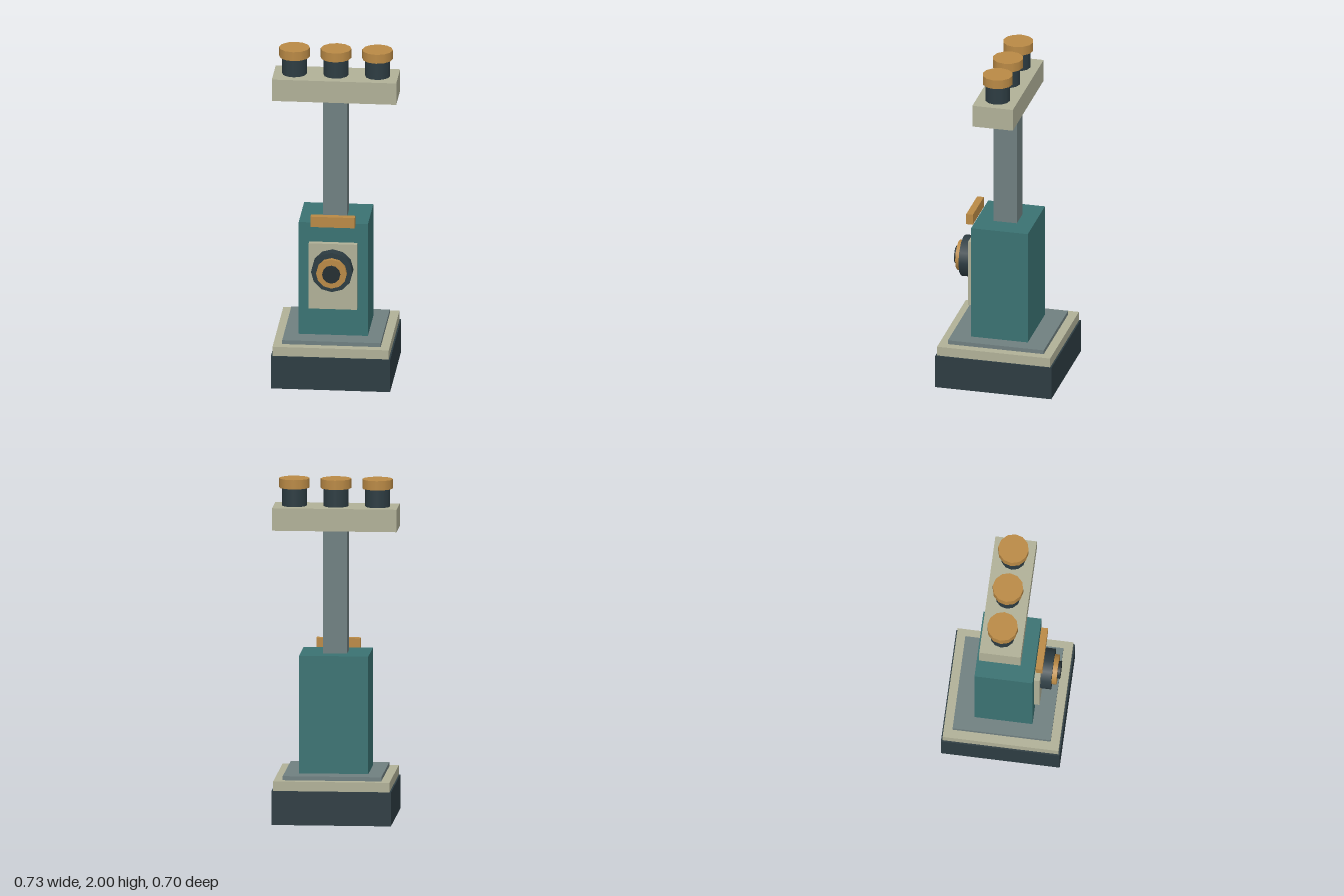
import * as THREE from 'three';

const material = (color) => new THREE.MeshStandardMaterial({ color });

export function createModel() {
  const group = new THREE.Group();
  const dark = material(0x2d3c42);
  const black = material(0x242e31);
  const cream = material(0xb0b097);
  const slate = material(0x6f7f80);
  const teal = material(0x3a7272);
  const brass = material(0xb98945);

  const add = (name, geometry, mat, x, y, z) => {
    const mesh = new THREE.Mesh(geometry, mat);
    mesh.name = name;
    mesh.position.set(x, y, z);
    group.add(mesh);
    return mesh;
  };
  // Box centred on x, spanning y0..y1 and z0..z1
  const block = (name, mat, width, y0, y1, z0, z1) =>
    add(name, new THREE.BoxGeometry(width, y1 - y0, z1 - z0), mat, 0, (y0 + y1) / 2, (z0 + z1) / 2);
  // Upright twelve-sided drum
  const drum = (name, mat, r, x, y0, y1) =>
    add(name, new THREE.CylinderGeometry(r, r, y1 - y0, 12), mat, x, (y0 + y1) / 2, 0);
  // Drum lying along z, on the axis of the lens
  const ring = (name, mat, r, z0, z1) => {
    const mesh = add(name, new THREE.CylinderGeometry(r, r, z1 - z0, 12), mat, 0, 0.703, (z0 + z1) / 2);
    mesh.rotation.x = Math.PI / 2;
  };

  // Stepped base
  block('base', dark, 0.7, 0, 0.2, -0.35, 0.35);
  block('basePlate', cream, 0.682, 0.2, 0.256, -0.341, 0.341);
  block('plinth', slate, 0.578, 0.256, 0.28, -0.289, 0.289);

  // Body and column
  block('body', teal, 0.406, 0.28, 0.975, -0.171, 0.171);
  block('column', slate, 0.14, 0.975, 1.705, -0.071, 0.071);

  // Front panel, lens and brass bar
  block('frontPanel', cream, 0.283, 0.452, 0.857, 0.171, 0.205);
  ring('lensHousing', dark, 0.122, 0.205, 0.268);
  ring('lensRing', brass, 0.09, 0.268, 0.296);
  ring('lensCentre', black, 0.053, 0.296, 0.313);
  block('frontBar', brass, 0.26, 0.964, 1.028, 0.179, 0.219);

  // Head with three capped posts
  block('head', cream, 0.73, 1.705, 1.838, -0.122, 0.122);
  for (const x of [-0.244, 0, 0.244]) {
    drum('post', dark, 0.073, x, 1.838, 1.945);
    drum('postCap', brass, 0.09, x, 1.945, 2);
  }
  return group;
}
